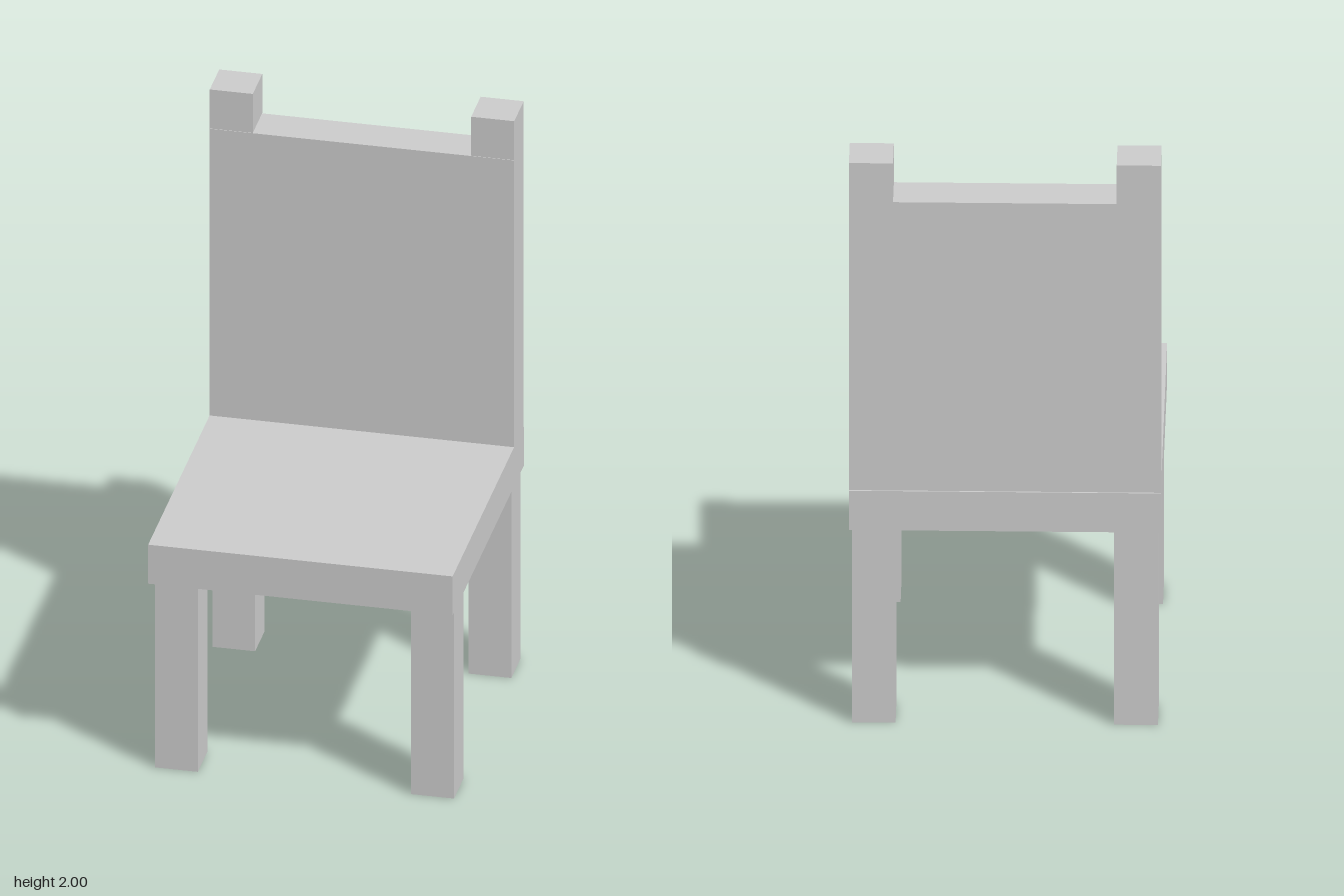
import * as THREE from 'three';

const material = new THREE.MeshStandardMaterial({ color: 0xcccccc, flatShading: true });

// Box given by its extents along each axis
function block(name, [x0, x1], [y0, y1], [z0, z1]) {
  const mesh = new THREE.Mesh(new THREE.BoxGeometry(x1 - x0, y1 - y0, z1 - z0), material);
  mesh.position.set((x0 + x1) / 2, (y0 + y1) / 2, (z0 + z1) / 2);
  mesh.name = name;
  return mesh;
}

export function createModel() {
  const chair = new THREE.Group();
  chair.name = 'chair';

  // Seat slab and solid backrest
  chair.add(block('seat', [-0.495, 0.495], [0.69, 0.83], [-0.52, 0.52]));
  chair.add(block('backrest', [-0.495, 0.495], [0.83, 1.86], [-0.515, -0.377]));

  // Legs and the post tops above the backrest, mirrored left and right
  for (const [side, s] of [['left', 1], ['right', -1]]) {
    const span = (a, b) => (s > 0 ? [a, b] : [-b, -a]);
    chair.add(block(`${side}FrontLeg`, span(0.347, 0.486), [0, 0.69], [0.32, 0.46]));
    chair.add(block(`${side}BackLeg`, span(0.347, 0.486), [0, 0.69], [-0.515, -0.377]));
    chair.add(block(`${side}PostTop`, span(0.355, 0.495), [1.86, 2], [-0.518, -0.379]));
  }
  return chair;
}
